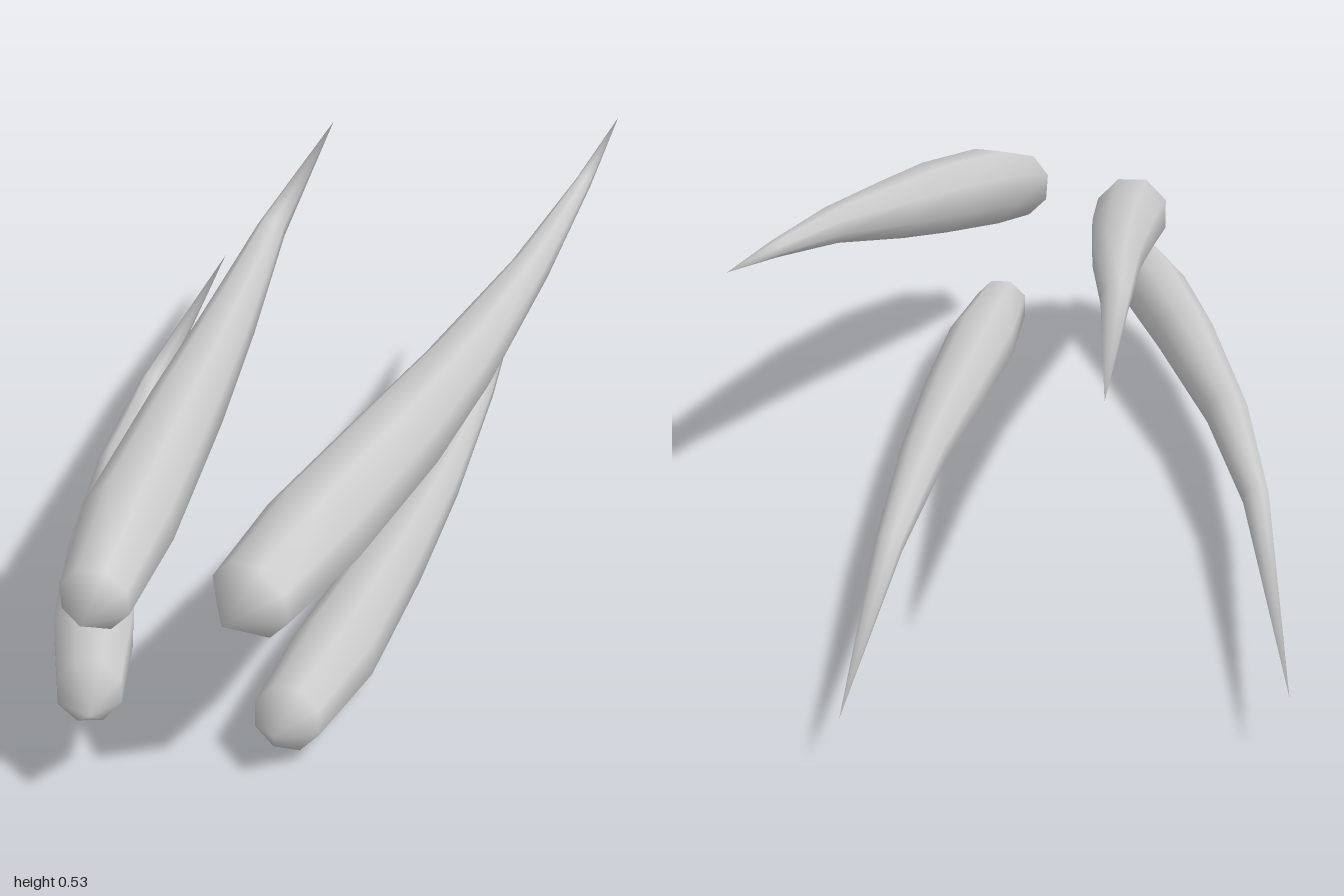
import * as THREE from 'three';

const SIDES = 8;

// Stations along each claw, blunt end to point: [x, y, z, radius]
const CLAWS = {
  upperLeftClaw: [
    [0.135, 0.275, 0.955, 0], [0.155, 0.285, 0.89, 0.06], [0.2, 0.32, 0.74, 0.072], [0.262, 0.362, 0.5, 0.065],
    [0.304, 0.395, 0.3, 0.052], [0.355, 0.45, 0, 0.03], [0.386, 0.497, -0.3, 0.013], [0.403, 0.535, -0.55, 0],
  ],
  upperRightClaw: [
    [-0.065, 0.24, 0.935, 0], [-0.065, 0.25, 0.875, 0.051], [-0.072, 0.287, 0.7, 0.067], [-0.079, 0.335, 0.4, 0.057],
    [-0.09, 0.37, 0.14, 0.043], [-0.115, 0.405, -0.2, 0.024], [-0.145, 0.43, -0.74, 0],
  ],
  lowerRightClaw: [
    [-0.032, 0.145, 1, 0], [-0.058, 0.14, 0.925, 0.046], [-0.115, 0.13, 0.74, 0.059], [-0.185, 0.12, 0.5, 0.052],
    [-0.275, 0.105, 0.14, 0.036], [-0.335, 0.098, -0.22, 0.021], [-0.403, 0.09, -0.91, 0],
  ],
  lowerLeftClaw: [
    [0.18, 0.075, 0.87, 0], [0.182, 0.071, 0.81, 0.049], [0.194, 0.064, 0.6, 0.062], [0.205, 0.065, 0.3, 0.053],
    [0.213, 0.067, 0, 0.038], [0.206, 0.07, -0.4, 0.022], [0.175, 0.075, -1, 0],
  ],
};

// Rings square to the centre line, joined to a single vertex at each end
function clawGeometry(stations) {
  const points = stations.map(([x, y, z]) => new THREE.Vector3(x, y, z));
  const last = points.length - 1;
  const positions = [...points[0].toArray()];
  const indices = [];

  for (let i = 1; i < last; i++) {
    const axis = points[i + 1].clone().sub(points[i - 1]).normalize();
    const side = new THREE.Vector3(0, 1, 0).cross(axis).normalize();
    const up = axis.clone().cross(side);
    for (let j = 0; j < SIDES; j++) {
      const a = ((j + 0.5) / SIDES) * Math.PI * 2;
      const p = points[i].clone()
        .addScaledVector(side, Math.cos(a) * stations[i][3])
        .addScaledVector(up, Math.sin(a) * stations[i][3]);
      positions.push(...p.toArray());
    }
  }
  positions.push(...points[last].toArray());

  const ring = (i, j) => 1 + (i - 1) * SIDES + (j % SIDES);
  const end = positions.length / 3 - 1;
  for (let j = 0; j < SIDES; j++) {
    indices.push(0, ring(1, j + 1), ring(1, j));
    for (let i = 1; i < last - 1; i++) {
      const a = ring(i, j), b = ring(i, j + 1), c = ring(i + 1, j), d = ring(i + 1, j + 1);
      indices.push(a, b, c, b, d, c);
    }
    indices.push(ring(last - 1, j), ring(last - 1, j + 1), end);
  }

  const geometry = new THREE.BufferGeometry();
  geometry.setAttribute('position', new THREE.Float32BufferAttribute(positions, 3));
  geometry.setIndex(indices);
  geometry.computeVertexNormals();
  return geometry;
}

export function createModel() {
  const group = new THREE.Group();
  group.name = 'claws';
  const material = new THREE.MeshStandardMaterial({ color: 0xcccccc });
  for (const [name, stations] of Object.entries(CLAWS)) {
    const claw = new THREE.Mesh(clawGeometry(stations), material);
    claw.name = name;
    group.add(claw);
  }
  return group;
}
